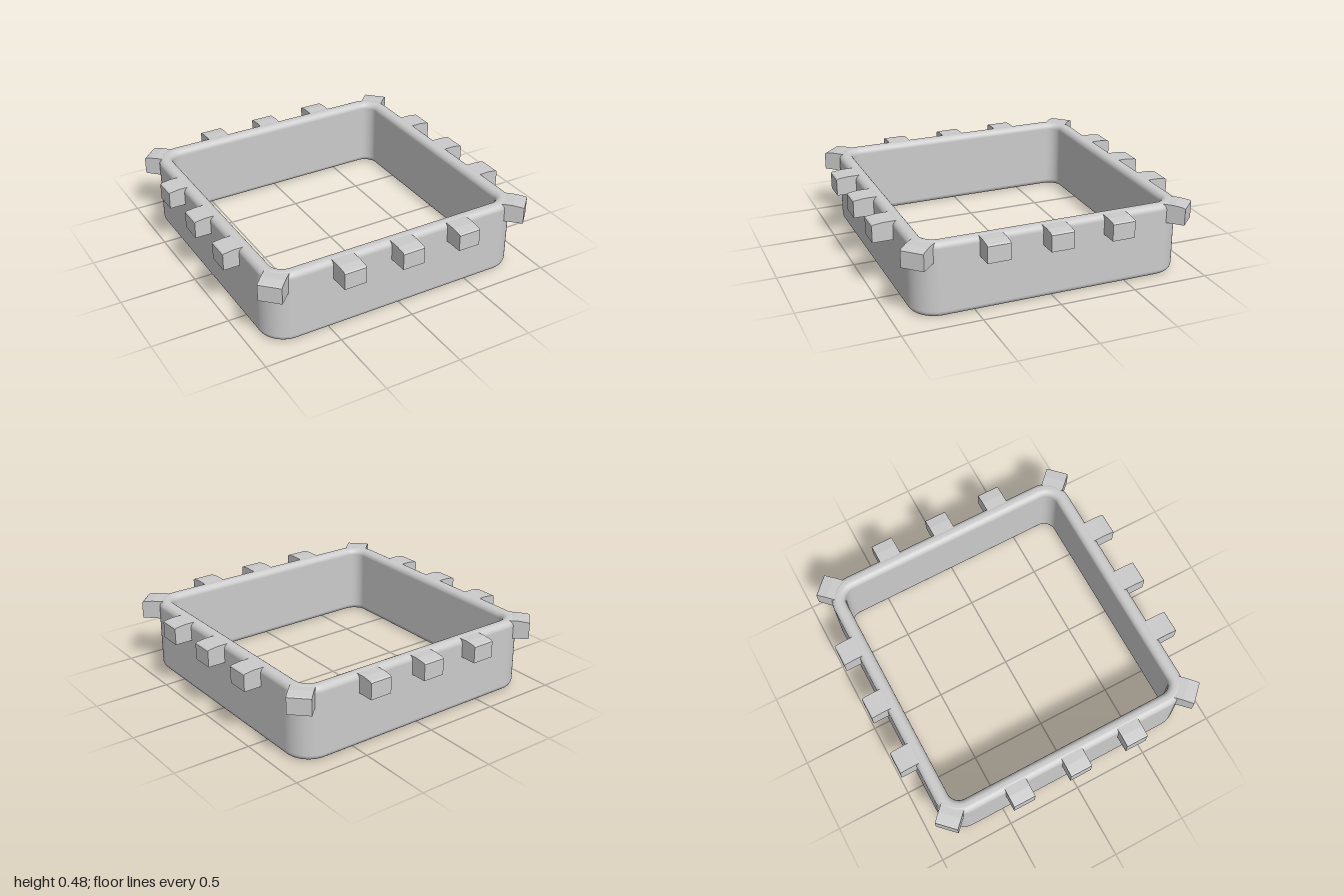
import * as THREE from 'three';

const material = new THREE.MeshStandardMaterial({ color: 0xcccccc });

// Points and normals of a rounded rectangle, counterclockwise, as [x, y, nx, ny]
function roundedLoop(halfX, halfY, radius, steps) {
  const points = [];
  for (let corner = 0; corner < 4; corner++) {
    const sx = corner === 0 || corner === 3 ? 1 : -1;
    const sy = corner < 2 ? 1 : -1;
    for (let i = 0; i <= steps; i++) {
      const a = (corner + i / steps) * Math.PI / 2;
      const nx = Math.cos(a), ny = Math.sin(a);
      points.push([sx * (halfX - radius) + radius * nx, sy * (halfY - radius) + radius * ny, nx, ny]);
    }
  }
  return points;
}

// Wall with rounded rims: a rounded section swept around a rounded square
function wallGeometry() {
  const path = roundedLoop(0.845, 0.835, 0.125, 14);
  const section = roundedLoop(0.045, 0.24, 0.04, 8);
  const positions = [], normals = [], index = [];
  const n = section.length;
  path.forEach(([x, z, nx, nz], p) => {
    const next = (p + 1) % path.length;
    section.forEach(([out, y, sOut, sY], s) => {
      positions.push(x + nx * out, y + 0.24, z + nz * out);
      normals.push(nx * sOut, sY, nz * sOut);
      const s2 = (s + 1) % n;
      const a = p * n + s, b = p * n + s2, c = next * n + s, d = next * n + s2;
      index.push(a, b, c, b, d, c);
    });
  });
  const geometry = new THREE.BufferGeometry();
  geometry.setAttribute('position', new THREE.Float32BufferAttribute(positions, 3));
  geometry.setAttribute('normal', new THREE.Float32BufferAttribute(normals, 3));
  geometry.setIndex(index);
  return geometry;
}

// Block whose outer face lies at x = 0, with a top falling gently outwards
function blockGeometry(length) {
  const width = 0.148;
  const profile = new THREE.Shape();
  profile.moveTo(-length, 0.355);
  profile.lineTo(0, 0.355);
  profile.lineTo(0, 0.462);
  profile.lineTo(-0.008, 0.469);
  profile.lineTo(-0.07, 0.477);
  profile.lineTo(-length, 0.477);
  profile.closePath();
  return new THREE.ExtrudeGeometry(profile, { depth: width, bevelEnabled: false })
    .translate(0, 0, -width / 2);
}

export function createModel() {
  const model = new THREE.Group();
  model.name = 'squareRing';

  const wall = new THREE.Mesh(wallGeometry(), material);
  wall.name = 'wall';
  wall.position.set(-0.005, 0, -0.01);
  model.add(wall);

  function addBlock(name, x, z, dirX, dirZ, length) {
    const block = new THREE.Mesh(blockGeometry(length), material);
    block.name = name;
    block.position.set(x, 0, z);
    block.rotation.y = Math.atan2(-dirZ, dirX);
    model.add(block);
  }

  // Three blocks along each side
  for (const along of [-0.405, -0.003, 0.4]) {
    addBlock('leftBlock', 1, along, 1, 0, 0.16);
    addBlock('rightBlock', -1, along, -1, 0, 0.15);
    addBlock('frontBlock', along, 1, 0, 1, 0.175);
    addBlock('backBlock', along, -1, 0, -1, 0.155);
  }

  // One block on each corner, turned outwards
  for (const sx of [-1, 1]) {
    for (const sz of [-1, 1]) {
      addBlock('cornerBlock', sx * 0.908, sz * 0.897 - 0.003, sx, sz, 0.14);
    }
  }
  return model;
}
